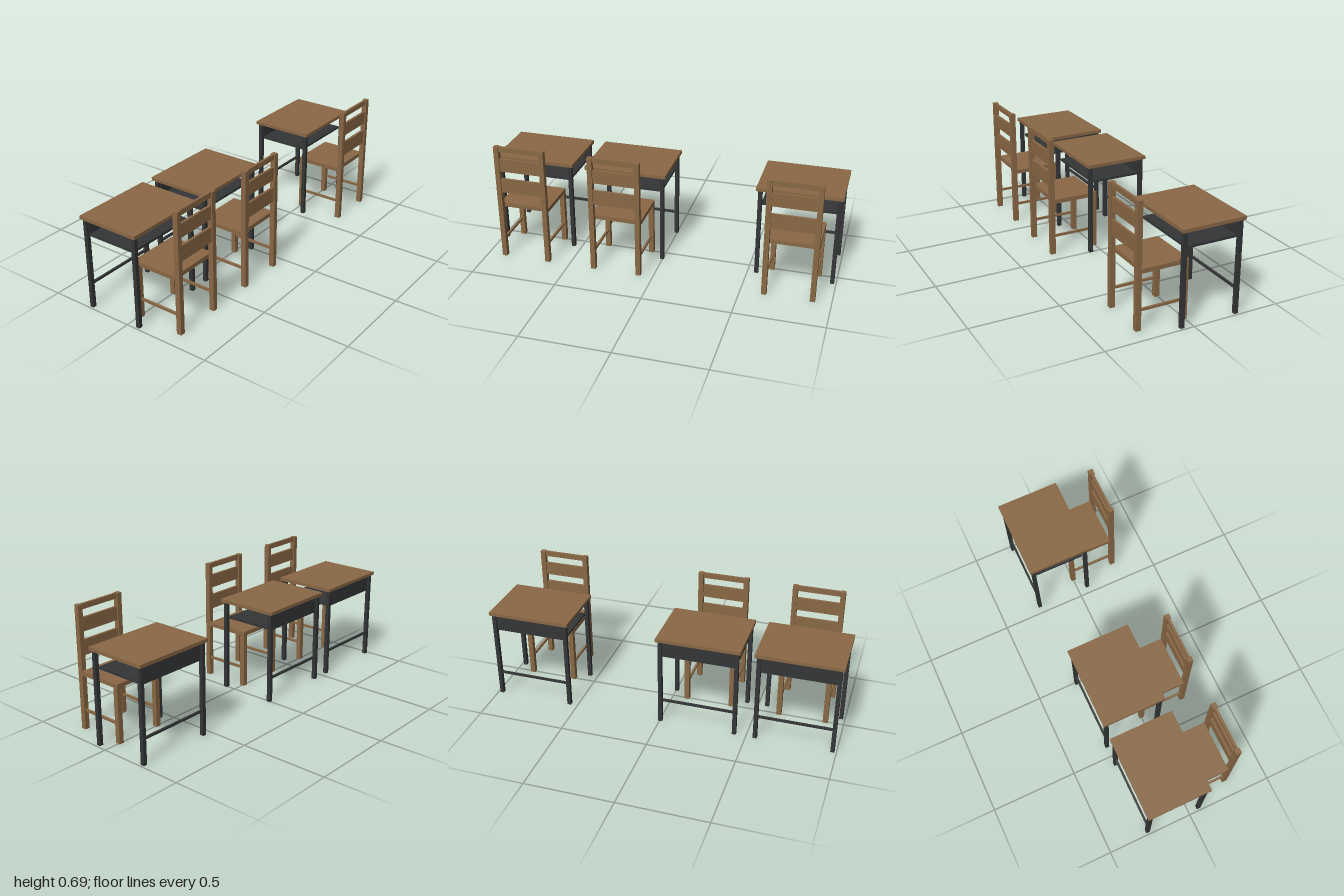
import * as THREE from 'three';

const wood = new THREE.MeshStandardMaterial({ color: 0x8a6845 });
wood.name = 'brown wood';
const metal = new THREE.MeshStandardMaterial({ color: 0x343536 });
metal.name = 'dark metal';

// Box given by its [min, max] extents along each axis
function addBox(group, name, material, [x0, x1], [y0, y1], [z0, z1]) {
  const mesh = new THREE.Mesh(new THREE.BoxGeometry(x1 - x0, y1 - y0, z1 - z0), material);
  mesh.position.set((x0 + x1) / 2, (y0 + y1) / 2, (z0 + z1) / 2);
  mesh.name = name;
  group.add(mesh);
}

// Left and right copies of a box
function addPair(group, name, material, [x0, x1], y, z) {
  addBox(group, name + 'Left', material, [x0, x1], y, z);
  addBox(group, name + 'Right', material, [-x1, -x0], y, z);
}

function createDesk() {
  const desk = new THREE.Group();
  desk.name = 'desk';
  addBox(desk, 'deskTop', wood, [-0.236, 0.236], [0.521, 0.54], [-0.281, 0.084]);
  addPair(desk, 'deskFrontLeg', metal, [0.203, 0.225], [0, 0.521], [0.051, 0.073]);
  addPair(desk, 'deskBackLeg', metal, [0.203, 0.225], [0, 0.521], [-0.27, -0.248]);
  // Book tray: shelf and back panel, open at the front and sides
  addBox(desk, 'trayShelf', metal, [-0.208, 0.208], [0.423, 0.436], [-0.247, 0.047]);
  addBox(desk, 'trayBack', metal, [-0.208, 0.208], [0.423, 0.521], [-0.258, -0.245]);
  addBox(desk, 'deskStretcher', metal, [-0.203, 0.203], [0.135, 0.147], [-0.265, -0.253]);
  return desk;
}

function createChair() {
  const chair = new THREE.Group();
  chair.name = 'chair';
  addBox(chair, 'seat', wood, [-0.147, 0.147], [0.311, 0.335], [-0.012, 0.253]);
  addPair(chair, 'chairFrontLeg', wood, [0.119, 0.147], [0, 0.311], [-0.012, 0.016]);
  addPair(chair, 'chairBackPost', wood, [0.119, 0.147], [0, 0.692], [0.253, 0.282]);
  addPair(chair, 'chairSideStretcher', wood, [0.127, 0.139], [0.102, 0.115], [0.016, 0.253]);
  // Backrest slats, bottom to top
  for (const y of [[0.412, 0.497], [0.542, 0.618], [0.662, 0.692]]) {
    addBox(chair, 'backSlat', wood, [-0.119, 0.119], y, [0.261, 0.275]);
  }
  return chair;
}

export function createModel() {
  const model = new THREE.Group();
  model.name = 'classroomDesks';
  // Two neighbouring places and one set apart
  for (const x of [-0.764, -0.218, 0.764]) {
    const place = new THREE.Group();
    place.name = 'deskAndChair';
    place.add(createDesk(), createChair());
    place.position.x = x;
    model.add(place);
  }
  return model;
}
